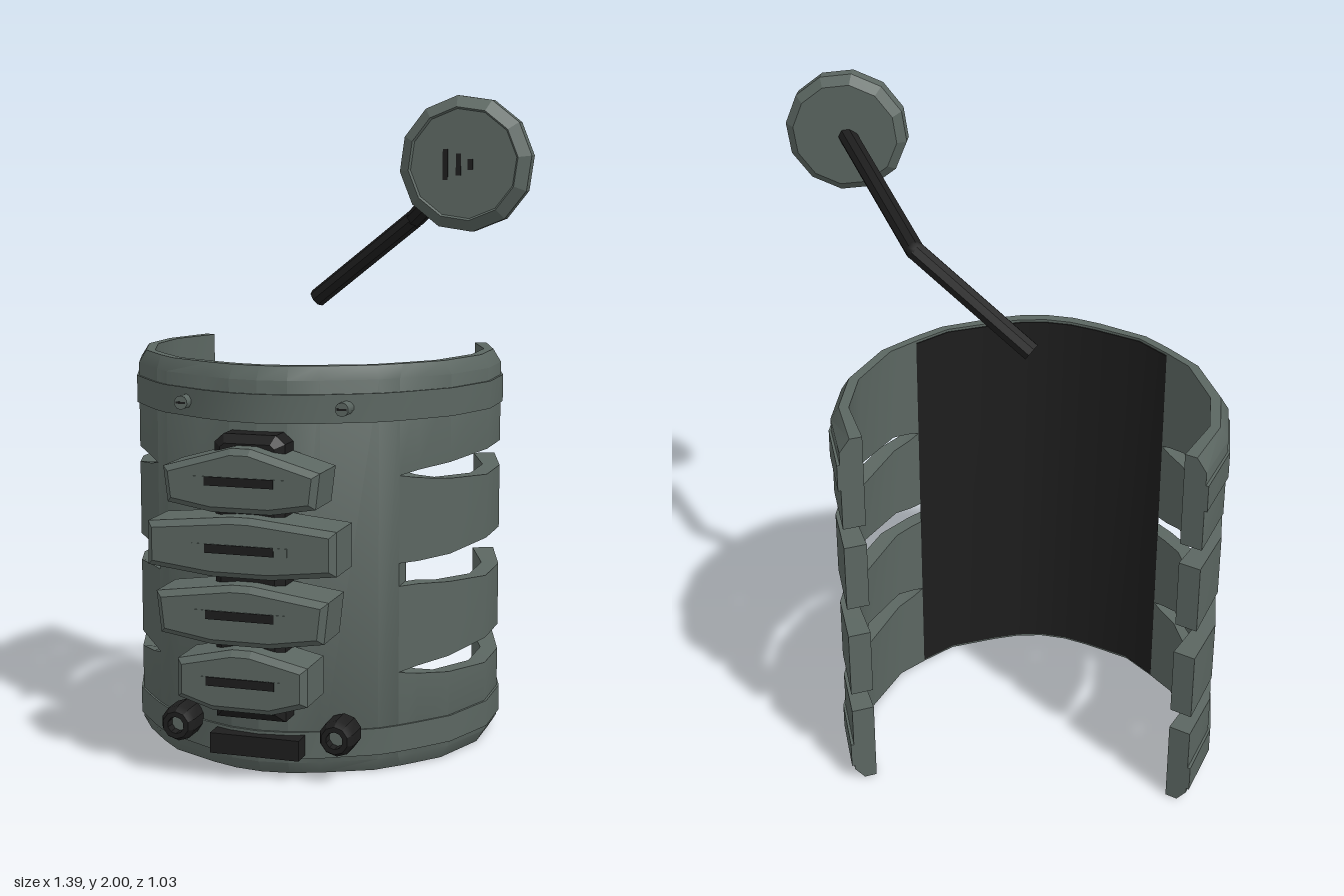
import * as THREE from 'three';
import { toCreasedNormals } from 'three/addons/utils/BufferGeometryUtils.js';

const CX = -0.115; // centre line of the shell
const H = 1.23;

// Half plan of the shell, front to back: outer dx, z, inner dx, z
const HALF = [
  [0, 0.36, 0, 0.3], [0.09, 0.348, 0.08, 0.29], [0.18, 0.315, 0.16, 0.262],
  [0.335, 0.232, 0.3, 0.2], [0.385, 0.185, 0.385, 0.114], [0.43, 0.135, 0.41, 0.085],
  [0.505, 0.045, 0.453, 0.037], [0.575, -0.14, 0.52, -0.15],
  [0.575, -0.32, 0.52, -0.317], [0.515, -0.51, 0.453, -0.48],
];
const TIP = 4; // station where the side slits begin
const mirror = (s) => [-s[0], s[1], -s[2], s[3]];
const around = (n) => [...HALF.slice(1, n + 1).reverse().map(mirror), ...HALF.slice(0, n + 1)];

// Sweeps a convex section of [depth (0 outer, 1 inner), y] along plan stations
function sweep(stations, section) {
  const rings = stations.map((s, i) => section(i).map(([u, y]) =>
    [CX + s[0] + (s[2] - s[0]) * u, y, s[1] + (s[3] - s[1]) * u]));
  const pos = [];
  const tri = (a, b, c) => pos.push(...a, ...b, ...c);
  const n = rings[0].length;
  for (let i = 0; i < rings.length - 1; i++) {
    const r = rings[i], q = rings[i + 1];
    for (let j = 0; j < n; j++) {
      const k = (j + 1) % n;
      tri(r[j], q[j], q[k]);
      tri(r[j], q[k], r[k]);
    }
  }
  const a = rings[0], z = rings[rings.length - 1];
  for (let j = 1; j < n - 1; j++) {
    tri(a[0], a[j], a[j + 1]);
    tri(z[0], z[j + 1], z[j]);
  }
  const g = new THREE.BufferGeometry();
  g.setAttribute('position', new THREE.Float32BufferAttribute(pos, 3));
  return toCreasedNormals(g, 0.6);
}

// Section from y0 to y1, chamfered outside by c0 below and c1 above
const wall = (y0, y1, c0 = 0, c1 = 0) => [
  [1, y0], [c0 ? 0.45 : 0, y0], [0, y0 + c0], [0, y1 - c1], [c1 ? 0.45 : 0, y1], [1, y1]];

function bevelled(points, z0, z1, bevel) {
  const g = new THREE.ExtrudeGeometry(new THREE.Shape(points.map((p) => new THREE.Vector2(...p))), {
    depth: z1 - z0 - 2 * bevel, bevelEnabled: true, bevelThickness: bevel,
    bevelSize: bevel, bevelOffset: -bevel, bevelSegments: 1,
  });
  return g.translate(0, 0, z0 + bevel);
}

export function createModel() {
  const group = new THREE.Group();
  const grey = new THREE.MeshStandardMaterial({ color: 0x5b6661 });
  grey.name = 'grey green';
  const black = new THREE.MeshStandardMaterial({ color: 0x1d1d1d });
  black.name = 'black';
  const add = (name, geo, mat, x = 0, y = 0, z = 0) => {
    const m = new THREE.Mesh(geo, mat);
    m.name = name;
    m.position.set(x, y, z);
    group.add(m);
    return m;
  };

  // Front of the shell and its dark lining
  add('frontShell', sweep(around(TIP), () => wall(0, H, 0.04, 0.04)), grey);
  add('lining', sweep(around(TIP), () =>
    [[1.07, 0.008], [0.99, 0.008], [0.99, H - 0.008], [1.07, H - 0.008]]), black);

  // Side tongues between the tapering slits
  const thin = [0, 0.012, 0.025, 0.04, 0.04, 0.033];
  const wide = [0.035, 0.035, 0.043, 0.06, 0.06, 0.05];
  const tongues = [
    (i) => wall(0, 0.3 - thin[i], 0.04, 0),
    (i) => wall(0.3 + thin[i], 0.6 - wide[i]),
    (i) => wall(0.6 + wide[i], 0.9 - thin[i]),
    (i) => wall(0.9 + thin[i], H, 0, 0.04),
  ];
  const side = HALF.slice(TIP);
  const otherSide = side.map(mirror).reverse();
  for (const t of tongues) {
    add('leftTongue', sweep(side, t), grey);
    add('rightTongue', sweep(otherSide, (i) => t(side.length - 1 - i)), grey);
  }

  // Raised bands near both rims
  for (const [y0, y1] of [[0.055, 0.137], [1.065, 1.15]]) {
    add('rimBand', sweep(around(HALF.length - 1), () =>
      [[0.2, y0], [-0.13, y0], [-0.13, y1], [0.2, y1]]), grey);
  }

  // Spine behind the front blocks
  add('spine', bevelled([[-0.108, 0.19], [0.108, 0.19], [0.108, 1.015], [0.08, 1.04],
    [-0.08, 1.04], [-0.108, 1.015]], 0.32, 0.445, 0.025), black, CX);

  // Front blocks: half width, lower half width, centre y, top, shoulder, lower shoulder, bottom
  const blocks = [
    [0.238, 0.225, 0.915, 1.01, 0.95, 0.845, 0.822],
    [0.288, 0.288, 0.718, 0.81, 0.785, 0.655, 0.632],
    [0.264, 0.25, 0.522, 0.61, 0.578, 0.455, 0.43],
    [0.2, 0.2, 0.323, 0.418, 0.38, 0.265, 0.232],
  ];
  for (const [w, v, cy, top, a, b, bottom] of blocks) {
    add('frontBlock', bevelled([[-v, b], [-0.09, bottom], [0.09, bottom], [v, b],
      [w, a], [0.03, top], [-0.03, top], [-w, a]], 0.33, 0.515, 0.018), grey, CX);
    const s = Math.min(1, w / 0.238);
    add('blockSlotFrame', new THREE.BoxGeometry(0.29 * s, 0.026, 0.004), grey, CX, cy, 0.515);
    add('blockSlot', new THREE.BoxGeometry(0.21, 0.026, 0.006), black, CX, cy, 0.516);
  }

  // Knobs, screws and lower bar
  const ring = new THREE.LatheGeometry([[0.026, 0], [0.055, 0], [0.055, 0.075],
    [0.042, 0.1], [0.026, 0.1], [0.026, 0]].map((p) => new THREE.Vector2(...p)), 10);
  const ringGeo = toCreasedNormals(ring.rotateX(Math.PI / 2), 0.5);
  const screwGeo = new THREE.CylinderGeometry(0.021, 0.021, 0.06, 10).rotateX(Math.PI / 2);
  for (const sx of [-0.25, 0.25]) {
    add('knob', ringGeo, black, CX + sx, 0.14, 0.3);
    add('knobCore', new THREE.CylinderGeometry(0.027, 0.027, 0.09, 10).rotateX(Math.PI / 2),
      grey, CX + sx, 0.14, 0.32);
    add('screw', screwGeo, grey, CX + sx, 1.11, 0.3);
    add('screwSlot', new THREE.BoxGeometry(0.03, 0.006, 0.004), black, CX + sx, 1.11, 0.33);
  }
  add('lowerBar', new THREE.BoxGeometry(0.28, 0.062, 0.1), black, CX, 0.097, 0.35);

  // Bent arm
  const path = [[-0.115, 1.385, -0.215], [0.232, 1.645, -0.117], [0.5, 1.81, 0.33]]
    .map((p) => new THREE.Vector3(...p));
  for (let i = 0; i < 2; i++) {
    const tube = new THREE.TubeGeometry(new THREE.LineCurve3(path[i], path[i + 1]), 1, 0.029, 8);
    add('arm', toCreasedNormals(tube, 0.5), black);
  }
  add('armElbow', new THREE.SphereGeometry(0.029, 8, 6), black, ...path[1].toArray());
  const cap = add('armEnd', new THREE.CircleGeometry(0.029, 8), black, ...path[0].toArray());
  cap.lookAt(path[0].clone().multiplyScalar(2).sub(path[1]));

  // Round head with a recessed-looking front plate
  const head = new THREE.LatheGeometry([[0, 0], [0.16, 0], [0.187, 0.025], [0.187, 0.065],
    [0.155, 0.095], [0.15, 0.088], [0, 0.088]].map((p) => new THREE.Vector2(...p)), 12);
  head.rotateY(0.12).rotateX(Math.PI / 2);
  add('head', toCreasedNormals(head, 0.3), grey, 0.505, 1.815, 0.315);
  [[0.455, 0.085], [0.492, 0.06], [0.525, 0.03]].forEach(([x, h]) =>
    add('headVent', new THREE.BoxGeometry(0.014, h, 0.004), black, x, 1.813, 0.404));

  return group;
}
